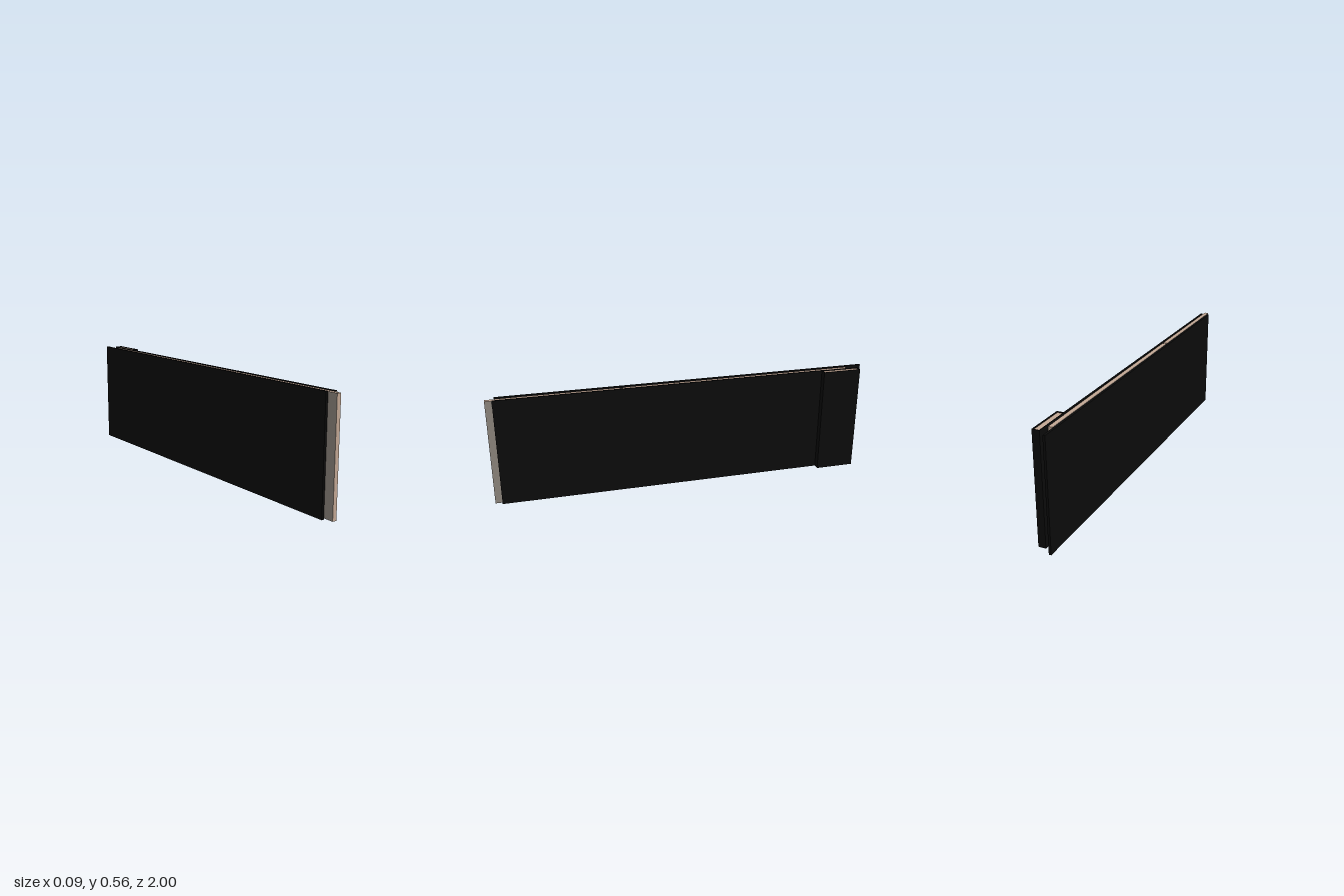
import * as THREE from 'three';

export function createModel() {
  const model = new THREE.Group();
  model.name = 'layeredWall';
  const mat = (name, color) => {
    const m = new THREE.MeshStandardMaterial({ color });
    m.name = name;
    return m;
  };
  const black = mat('black cladding', 0x0b0b0b);
  const tan = mat('tan core', 0xc2a794);
  const grey = mat('grey core skin', 0x908880);
  const pale = mat('pale tag', 0xd8d8d4);

  // Box given by its lower and upper limits on each axis
  const slab = (name, [x0, x1], [y0, y1], [z0, z1], material) => {
    const mesh = new THREE.Mesh(new THREE.BoxGeometry(x1 - x0, y1 - y0, z1 - z0), material);
    mesh.position.set((x0 + x1) / 2, (y0 + y1) / 2, (z0 + z1) / 2);
    mesh.name = name;
    model.add(mesh);
  };
  const full = [0, 0.565];
  const inner = [0.003, 0.561];
  const core = [grey, grey, tan, tan, tan, tan]; // grey broad faces, tan edges

  // Outer panels
  slab('rearPanel', [-0.043, -0.031], full, [-1, 0.953], black);
  slab('facePanel', [0, 0.009], full, [-0.765, 0.965], black);

  // Core boards joined by a narrow tongue
  slab('longCoreBoard', [-0.024, -0.002], inner, [-0.908, 0.317], core);
  slab('shortCoreBoard', [-0.024, -0.002], inner, [0.333, 1], core);
  slab('coreTongue', [-0.017, -0.009], inner, [0.317, 0.333], tan);

  // Projecting pier: open-ended black casing around a filler board
  slab('pierOuterWall', [0.038, 0.042], full, [-0.965, -0.758], black);
  slab('pierInnerWall', [0.004, 0.008], full, [-0.965, -0.765], black);
  for (const z of [-0.965, -0.762]) {
    slab('pierEndWall', [0.008, 0.038], full, [z, z + 0.004], black);
  }
  slab('pierFiller', [0.01, 0.036], inner, [-0.959, -0.764], core);

  // Small tag on the front edge of the face panel
  slab('edgeTag', [0.002, 0.009], [0.535, 0.563], [0.965, 0.967], pale);

  return model;
}
